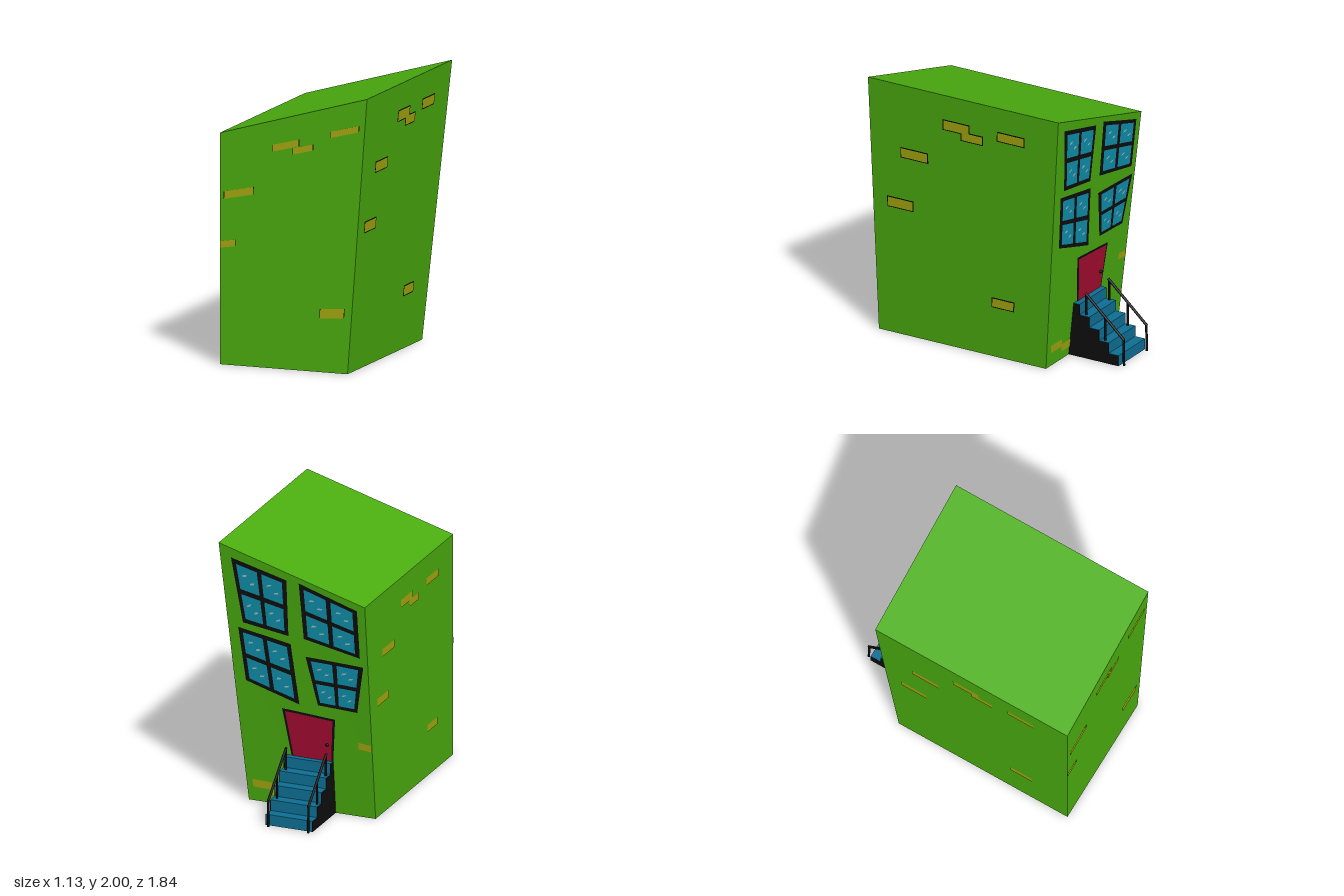
import * as THREE from 'three';
import { mergeGeometries } from 'three/addons/utils/BufferGeometryUtils.js';

const mat = (name, color) => {
  const m = new THREE.MeshStandardMaterial({ color, side: THREE.DoubleSide });
  m.name = name;
  return m;
};
const V = (x, y, z) => new THREE.Vector3(x, y, z);
const lerp = THREE.MathUtils.lerp;

// Bilinear point on four 2D corners: bottom left, bottom right, top left, top right
const mix2 = (q, u, v) => [0, 1].map(i =>
  lerp(lerp(q[0][i], q[1][i], u), lerp(q[2][i], q[3][i], u), v));
const rect = (s0, s1, t0, t1) => [[s0, t0], [s1, t0], [s0, t1], [s1, t1]];

// A wall maps (s, t) to space; corners are ordered as seen from outside
function makeWall(bl, br, tl, tr) {
  const normal = tr.clone().sub(bl).cross(tl.clone().sub(br)).normalize();
  return (s, t, off = 0) => bl.clone().lerp(br, s)
    .lerp(tl.clone().lerp(tr, s), t).addScaledVector(normal, off);
}

// Thin sheet lying on a wall inside the quad q of (s, t) corners
function patch(wall, q, off, n = 4) {
  const g = new THREE.PlaneGeometry(1, 1, n, n);
  const uv = g.attributes.uv, pos = g.attributes.position;
  for (let i = 0; i < pos.count; i++) {
    const [s, t] = mix2(q, uv.getX(i), uv.getY(i));
    const p = wall(s, t, off);
    pos.setXYZ(i, p.x, p.y, p.z);
  }
  g.computeVertexNormals();
  return g;
}

export function createModel() {
  const root = new THREE.Group();
  const green = mat('wall green', 0x4cb010), yellow = mat('brick yellow', 0xa9aa10);
  const black = mat('trim black', 0x0e0e0e), glass = mat('window blue', 0x1096b2);
  const blue = mat('stair blue', 0x0e7095), red = mat('door red', 0xaa0c32);
  const pale = mat('glint pale', 0xa2c4cc);
  const add = (name, geos, material, parent = root) => {
    const m = new THREE.Mesh(Array.isArray(geos) ? mergeGeometries(geos) : geos, material);
    m.name = name;
    parent.add(m);
    return m;
  };

  // Crooked house shell, open underneath
  const A = V(-0.565, 0, 0.92), B = V(0.415, 0, 0.92), C = V(0.415, 0, -0.47), D = V(-0.565, 0, -0.47);
  const E = V(-0.565, 1.675, 0.92), F = V(0.565, 2, 0.92), G = V(0.565, 2, -0.665), H = V(-0.565, 1.675, -0.665);
  const walls = {
    frontWall: makeWall(A, B, E, F), leftWall: makeWall(B, C, F, G),
    entranceWall: makeWall(C, D, G, H), rightWall: makeWall(D, A, H, E), roof: makeWall(E, F, H, G),
  };
  for (const [name, w] of Object.entries(walls)) add(name, patch(w, rect(0, 1, 0, 1), 0, 12), green);

  // Scattered bricks: s0, s1, t0, t1
  const sideBricks = [[0.397, 0.531, 0.865, 0.9], [0.493, 0.602, 0.838, 0.868], [0.685, 0.823, 0.87, 0.902],
    [0.166, 0.307, 0.713, 0.747], [0.084, 0.221, 0.505, 0.54], [0.674, 0.796, 0.2, 0.232]];
  const bricks = {
    frontWall: [[0.364, 0.544, 0.875, 0.902], [0.508, 0.643, 0.848, 0.872], [0.764, 0.957, 0.884, 0.908],
      [0.032, 0.234, 0.712, 0.744], [0.002, 0.11, 0.504, 0.532], [0.761, 0.94, 0.203, 0.237]],
    leftWall: sideBricks,
    rightWall: sideBricks,
    entranceWall: [[0.9, 0.995, 0.315, 0.345], [0.05, 0.2, 0.055, 0.085], [0.2, 0.35, 0.035, 0.065], [0.5, 0.66, 0.05, 0.08]],
  };
  for (const [name, list] of Object.entries(bricks)) {
    const w = walls[name];
    add(name + 'Bricks', list.flatMap(b => [0.004, -0.003].map(o => patch(w, rect(...b), o, 1))), yellow);
    if (name === 'leftWall' || name === 'frontWall') {
      const e = name === 'leftWall' ? 0.004 : 0;
      add(name + 'BrickEdges', list.map(([a, b, c, d]) =>
        patch(w, rect(Math.max(a - 0.005, 0), b + 0.005, c - e, d + e), 0.002, 1)), black);
    }
  }

  // Convert x, y on the entrance wall to (s, t)
  const entrance = walls.entranceWall;
  const toST = ([x, y]) => {
    let s = 0.5, t = 0.5;
    for (let i = 0; i < 20; i++) {
      s = (0.415 + 0.15 * t - x) / (0.98 + 0.15 * t);
      t = y / (2 - 0.325 * s);
    }
    return [s, t];
  };
  const sub = (q, r) => r.map(([u, v]) => mix2(q, u, v));

  // Crooked four-pane windows
  const windows = [
    [[0.40, 1.40], [0.047, 1.35], [0.472, 1.90], [0.043, 1.79]],
    [[-0.073, 1.347], [-0.507, 1.263], [-0.053, 1.783], [-0.503, 1.638]],
    [[0.396, 0.945], [-0.014, 0.819], [0.439, 1.357], [0.033, 1.289]],
    [[-0.159, 0.836], [-0.465, 0.826], [-0.08, 1.207], [-0.53, 1.195]],
  ];
  windows.forEach((corners, i) => {
    const q = corners.map(toST), win = new THREE.Group();
    win.name = 'window' + (i + 1);
    root.add(win);
    add('windowFrame', patch(entrance, q, 0.003), black, win);
    const panes = [], glints = [];
    for (const u of [0.08, 0.54]) for (const v of [0.07, 0.54]) {
      panes.push(patch(entrance, sub(q, rect(u, u + 0.38, v, v + 0.39)), 0.006, 2));
      for (const [du, dv] of [[0.13, 0.24], [0.26, 0.15]]) {
        const a = u + du, b = v + dv;
        glints.push(patch(entrance,
          sub(q, [[a - 0.05, b - 0.03], [a + 0.03, b], [a - 0.03, b + 0.01], [a + 0.05, b + 0.035]]), 0.008, 1));
      }
    }
    add('windowPanes', panes, glass, win);
    add('windowGlints', glints, pale, win);
  });

  // Door with frame and knob
  const door = [[0.065, 0.4], [-0.258, 0.4], [0.123, 0.768], [-0.288, 0.742]].map(toST);
  add('doorFrame', patch(entrance, door, 0.003), black);
  add('door', patch(entrance, sub(door, rect(0.05, 0.955, 0, 0.955)), 0.006), red);
  const knob = add('doorKnob', new THREE.SphereGeometry(0.012, 10, 8), black);
  knob.position.copy(entrance(...toST([-0.22, 0.535]), 0.01));

  // Stairs: hollow, thin treads and risers between two solid sides
  const steps = 5, rise = 0.081, run = 0.081, x0 = -0.255, x1 = 0.105, zFront = -0.885;
  const width = x1 - x0, xMid = (x0 + x1) / 2;
  const sheets = [], side = new THREE.Shape();
  side.moveTo(0.47, 0);
  side.lineTo(-zFront, 0);
  for (let i = 0; i < steps; i++) {
    const z = zFront + i * run, y = (i + 1) * rise;
    const depth = i === steps - 1 ? -0.495 - z : run;
    sheets.push(new THREE.BoxGeometry(width, 0.006, depth).translate(xMid, y - 0.003, z + depth / 2));
    sheets.push(new THREE.BoxGeometry(width, rise, 0.006).translate(xMid, y - rise / 2, z + 0.003));
    side.lineTo(-z, y - 0.002);
    side.lineTo(-z - depth, y - 0.002);
  }
  add('stairTreads', sheets, blue);
  for (const x of [x0 - 0.002, x1 - 0.004]) {
    const g = new THREE.ExtrudeGeometry(side, { depth: 0.006, bevelEnabled: false });
    g.rotateY(Math.PI / 2).translate(x, 0, 0);
    add('stairSide', g, black);
  }

  // Railings
  const bar = (a, b, r) => new THREE.TubeGeometry(new THREE.LineCurve3(a, b), 1, r, 8);
  for (const x of [-0.235, 0.075]) {
    add('railing', [
      bar(V(x, 0, -0.912), V(x, 0.2, -0.908), 0.009),
      bar(V(x, 0.16, -0.755), V(x, 0.34, -0.755), 0.009),
      bar(V(x, 0.32, -0.598), V(x, 0.485, -0.598), 0.009),
      bar(V(x, 0.195, -0.913), V(x, 0.487, -0.59), 0.01),
    ], black);
  }
  return root;
}
